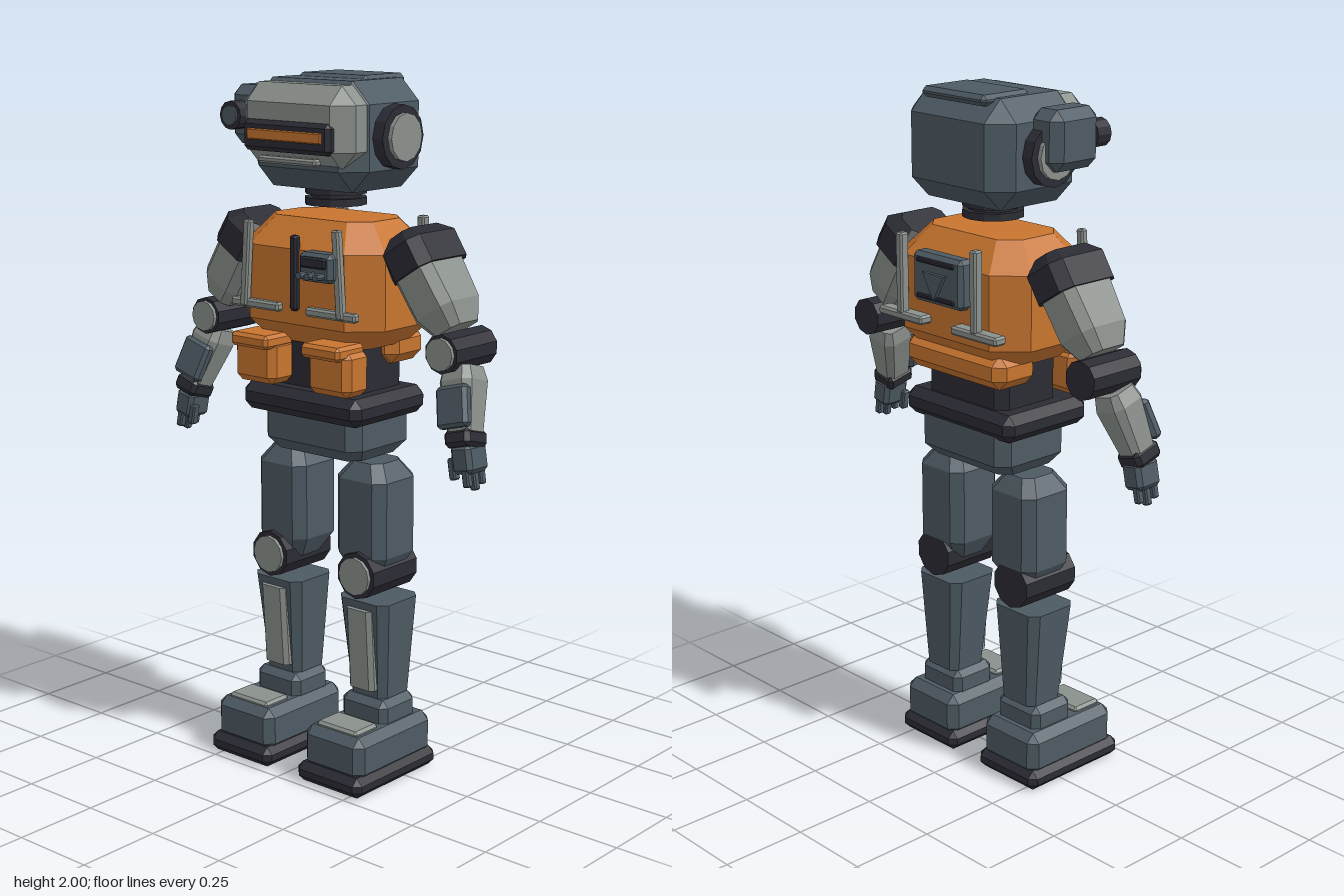
import * as THREE from 'three';
import { ConvexGeometry } from 'three/addons/geometries/ConvexGeometry.js';

const mat = (name, color) => {
  const m = new THREE.MeshStandardMaterial({ color });
  m.name = name;
  return m;
};
const V = (x, y, z) => new THREE.Vector3(x, y, z);

// Box with all edges chamfered by c
function chamferBox(w, h, d, c) {
  const pts = [], X = w / 2, Y = h / 2, Z = d / 2;
  for (const i of [-1, 1]) for (const j of [-1, 1]) for (const k of [-1, 1]) {
    pts.push(V(i * X, j * (Y - c), k * (Z - c)), V(i * (X - c), j * Y, k * (Z - c)), V(i * (X - c), j * (Y - c), k * Z));
  }
  return new ConvexGeometry(pts);
}

// Convex loft of octagonal sections [y, halfWidth, zBack, zFront, cornerCut]
function loft(sections) {
  const pts = [];
  for (const [y, w, z0, z1, c] of sections) for (const s of [-1, 1]) {
    pts.push(V(s * w, y, z0 + c), V(s * w, y, z1 - c), V(s * (w - c), y, z0), V(s * (w - c), y, z1));
  }
  return new ConvexGeometry(pts);
}

// Flat-faceted cylinder along the given axis
function disc(r, len, axis = 'y', sides = 12) {
  const g = new THREE.CylinderGeometry(r, r, len, sides).toNonIndexed();
  g.computeVertexNormals();
  if (axis === 'z') g.rotateX(Math.PI / 2);
  if (axis === 'x') g.rotateZ(Math.PI / 2);
  return g;
}

export function createModel() {
  const orange = mat('orange', 0xc8752f), slate = mat('slate', 0x4d5a63);
  const light = mat('light grey', 0x8a908c), black = mat('near black', 0x2b2b34);
  const root = new THREE.Group();
  root.name = 'robot';

  const add = (name, geo, m, x = 0, y = 0, z = 0, parent = root) => {
    const mesh = new THREE.Mesh(geo, m);
    mesh.name = name;
    mesh.position.set(x, y, z);
    parent.add(mesh);
    return mesh;
  };
  // Chamfered box given by its extents
  const span = (name, m, x0, x1, y0, y1, z0, z1, c, parent) =>
    add(name, chamferBox(x1 - x0, y1 - y0, z1 - z0, c), m, (x0 + x1) / 2, (y0 + y1) / 2, (z0 + z1) / 2, parent);
  // Group whose local +y runs from the low point to the high point
  const limb = (name, low, high) => {
    const g = new THREE.Group();
    g.name = name;
    g.position.copy(low);
    g.quaternion.setFromUnitVectors(V(0, 1, 0), high.clone().sub(low).normalize());
    root.add(g);
    return g;
  };

  // Head
  span('headShell', slate, -0.205, 0.205, 1.69, 1.99, -0.18, 0.15, 0.06);
  span('facePlate', light, -0.2, 0.2, 1.755, 1.98, 0.03, 0.19, 0.05);
  span('crownPanel', slate, -0.128, 0.125, 1.97, 2.0, -0.165, 0.01, 0.012);
  span('visorFrame', black, -0.158, 0.158, 1.797, 1.882, 0.17, 0.205, 0.012);
  span('visorStrip', orange, -0.135, 0.135, 1.828, 1.858, 0.203, 0.211, 0.003);
  span('chinStrip', light, -0.105, 0.105, 1.765, 1.785, 0.17, 0.2, 0.006);
  for (const s of [-1, 1]) {
    add('earRing', disc(0.088, 0.05, 'x'), black, s * 0.215, 1.84, -0.01);
    add('earCap', disc(0.066, 0.02, 'x'), light, s * 0.243, 1.84, -0.01);
  }
  // Side camera
  span('cameraBox', slate, -0.295, -0.18, 1.8, 1.965, -0.06, 0.115, 0.028);
  add('lensBarrel', disc(0.04, 0.05, 'z'), black, -0.243, 1.883, 0.135);
  add('lens', disc(0.028, 0.008, 'z'), slate, -0.243, 1.883, 0.162);

  // Neck
  for (const y of [1.651, 1.682]) add('neckRing', disc(0.088, 0.021, 'y'), black, 0, y, -0.01);
  add('neckCore', disc(0.07, 0.05, 'y'), black, 0, 1.668, -0.01);

  // Torso
  add('chest', loft([
    [1.26, 0.19, -0.14, 0.11, 0.05], [1.32, 0.255, -0.19, 0.16, 0.08],
    [1.53, 0.255, -0.19, 0.16, 0.08], [1.61, 0.18, -0.12, 0.095, 0.05]]), orange);
  span('lowerBackPad', orange, -0.2, 0.2, 1.2, 1.3, -0.177, -0.02, 0.03);
  span('abdomen', black, -0.16, 0.16, 1.1, 1.3, -0.13, 0.1, 0.03);
  span('beltRing', black, -0.22, 0.22, 1.05, 1.13, -0.16, 0.16, 0.025);
  add('pelvis', loft([[0.935, 0.155, -0.11, 0.09, 0.03], [0.97, 0.18, -0.145, 0.12, 0.035],
    [1.07, 0.18, -0.145, 0.12, 0.035]]), slate);
  span('zip', black, -0.013, 0.013, 1.36, 1.57, 0.15, 0.175, 0.006);

  // Harness bars and pouches
  for (const s of [-1, 1]) {
    const bar = span('frontStrap', light, s * 0.17 - 0.013, s * 0.17 + 0.013, 1.355, 1.6, 0.163, 0.187, 0.005);
    bar.rotation.z = s * 0.07;
    span('frontCrossBar', light, s * 0.14 - 0.09, s * 0.14 + 0.09, 1.352, 1.377, 0.155, 0.182, 0.006);
    span('backStrap', light, s * 0.15 - 0.013, s * 0.15 + 0.013, 1.37, 1.6, -0.23, -0.2, 0.005);
    span('backCrossBar', light, s * 0.15 - 0.09, s * 0.15 + 0.09, 1.352, 1.377, -0.23, -0.185, 0.006);
    span('pouch', orange, s * 0.138 - 0.077, s * 0.138 + 0.077, 1.14, 1.27, 0.09, 0.192, 0.02);
    span('pouchFlap', orange, s * 0.132 - 0.07, s * 0.132 + 0.07, 1.245, 1.285, 0.1, 0.217, 0.01);
  }

  // Chest radio
  span('radio', slate, 0.05, 0.17, 1.455, 1.535, 0.15, 0.21, 0.012);
  span('radioScreen', black, 0.065, 0.155, 1.495, 1.525, 0.2, 0.22, 0.005);
  for (const x of [0.08, 0.11, 0.14]) add('radioKnob', disc(0.01, 0.035, 'z', 8), slate, x, 1.475, 0.222);

  // Back hatch
  span('backPanel', slate, -0.1, 0.1, 1.42, 1.56, -0.225, -0.17, 0.012);
  add('backEmblemPlate', disc(0.05, 0.014, 'z', 3), slate, 0, 1.485, -0.229);
  for (const y of [1.44, 1.54]) span('backVent', black, -0.075, 0.075, y - 0.006, y + 0.006, -0.232, -0.22, 0.003);

  for (const s of [-1, 1]) {
    // Arm: shoulder and upper arm
    const shoulder = limb('shoulder', V(s * 0.328, 1.495, -0.018), V(s * 0.268, 1.588, -0.018));
    add('shoulderCap', loft([[-0.01, 0.076, -0.105, 0.105, 0.03], [0.07, 0.076, -0.105, 0.105, 0.03],
      [0.105, 0.045, -0.075, 0.075, 0.02]]), black, 0, 0, 0, shoulder);
    const upper = limb('upperArm', V(s * 0.428, 1.335, -0.015), V(s * 0.318, 1.505, -0.015));
    add('upperArmShell', loft([[0, 0.048, -0.06, 0.06, 0.02], [0.06, 0.07, -0.085, 0.085, 0.025],
      [0.2, 0.07, -0.092, 0.092, 0.025]]), light, 0, 0, 0, upper);

    // Elbow
    add('elbow', disc(0.055, 0.18, 'z', 10), black, s * 0.44, 1.28, -0.02);
    add('elbowCap', disc(0.045, 0.014, 'z'), light, s * 0.44, 1.28, 0.074);

    // Forearm with front guard
    const fore = limb('forearm', V(s * 0.51, 1.06, 0.048), V(s * 0.458, 1.245, -0.005));
    add('forearmShell', loft([[0, 0.038, -0.042, 0.042, 0.015], [0.15, 0.055, -0.055, 0.055, 0.02],
      [0.19, 0.045, -0.045, 0.045, 0.015]]), light, 0, 0, 0, fore);
    span('forearmGuard', slate, -0.052, 0.052, 0.02, 0.135, 0.03, 0.066, 0.01, fore);
    span('wrist', black, -0.043, 0.043, -0.03, 0.02, -0.048, 0.048, 0.012, fore);

    // Hand
    const hand = limb('hand', V(s * 0.53, 0.965, 0.048), V(s * 0.516, 1.04, 0.046));
    span('palm', slate, -0.034, 0.034, 0, 0.08, -0.044, 0.044, 0.012, hand);
    for (const z of [-0.03, 0, 0.03]) {
      span('finger', slate, s * 0.008 - 0.011, s * 0.008 + 0.011, -0.048 + Math.abs(z) * 0.4, 0.02, z - 0.011, z + 0.011, 0.004, hand);
    }
    span('thumb', slate, -s * 0.036 - 0.011, -s * 0.036 + 0.011, -0.015, 0.045, 0.015, 0.04, 0.004, hand);

    // Leg: thigh, knee, shin
    add('thigh', loft([[0.6, 0.055, -0.06, 0.05, 0.02], [0.66, 0.09, -0.1, 0.08, 0.03],
      [0.88, 0.09, -0.1, 0.08, 0.03], [0.928, 0.055, -0.07, 0.05, 0.025]]), slate, s * 0.15, 0, 0);
    add('knee', disc(0.069, 0.195, 'z', 10), black, s * 0.165, 0.607, -0.002);
    add('kneeCap', disc(0.055, 0.012, 'z'), light, s * 0.165, 0.607, 0.1);
    add('shin', loft([[0.235, 0.066, -0.08, 0.05, 0.02], [0.528, 0.09, -0.092, 0.08, 0.025]]), slate, s * 0.165, 0, 0);
    add('shinGuard', loft([[0.262, 0.046, 0.02, 0.076, 0.012], [0.505, 0.046, 0.04, 0.092, 0.012]]), light, s * 0.165, 0, 0);

    // Ankle and foot
    span('ankle', slate, s * 0.168 - 0.084, s * 0.168 + 0.084, 0.15, 0.235, -0.08, 0.072, 0.02);
    span('foot', slate, s * 0.172 - 0.11, s * 0.172 + 0.11, 0.04, 0.17, -0.12, 0.215, 0.025);
    span('toePlate', light, s * 0.172 - 0.075, s * 0.172 + 0.075, 0.155, 0.182, 0.09, 0.19, 0.008);
    span('sole', black, s * 0.172 - 0.12, s * 0.172 + 0.12, 0, 0.06, -0.13, 0.235, 0.02);
  }
  return root;
}
